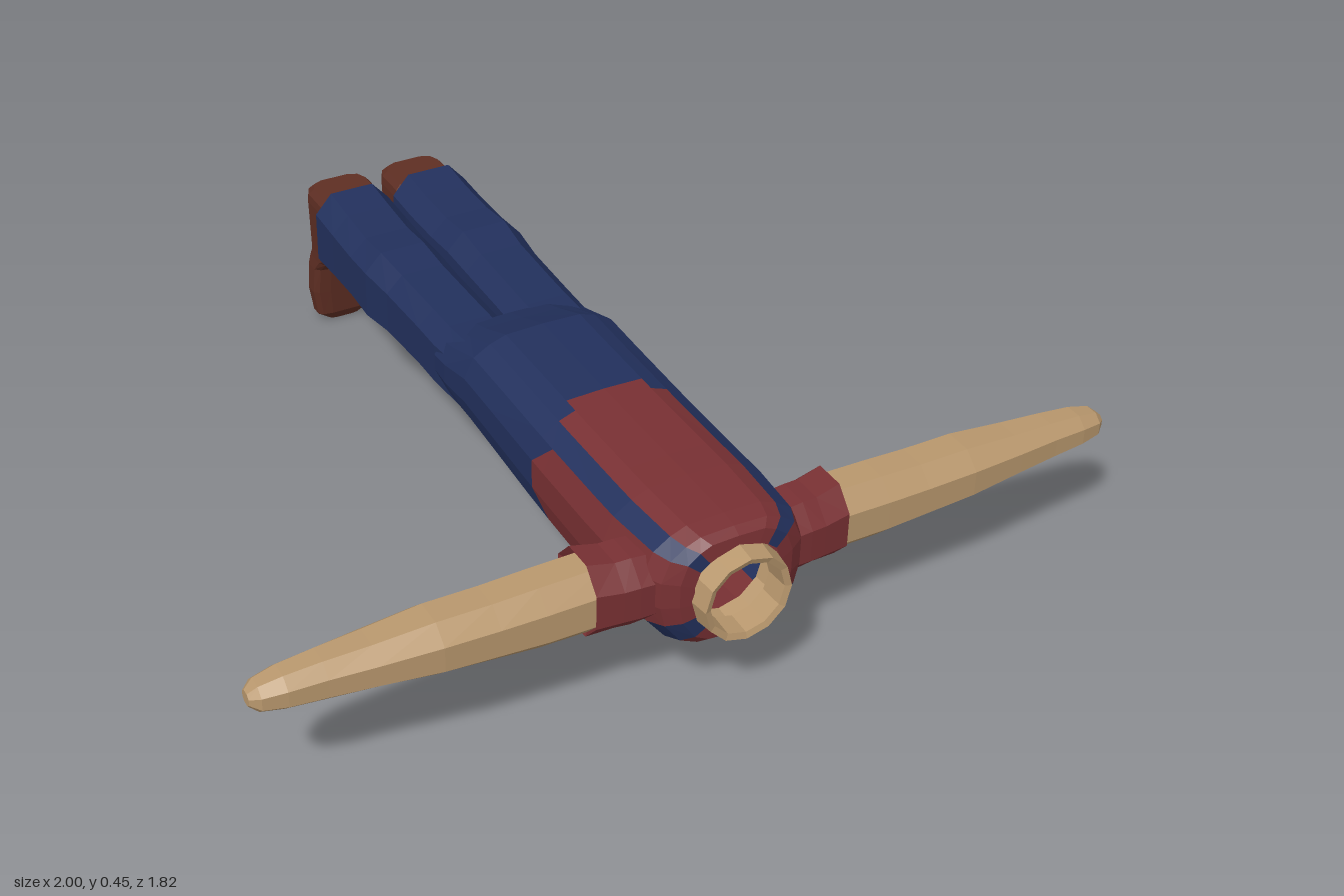
import * as THREE from 'three';

const mat = (name, color) => {
  const m = new THREE.MeshStandardMaterial({ color, flatShading: true, side: THREE.DoubleSide });
  m.name = name;
  return m;
};

// Geometry from plain triangles, each a trio of [x, y, z] points
function fromTriangles(tris) {
  const g = new THREE.BufferGeometry();
  g.setAttribute('position', new THREE.Float32BufferAttribute(tris.flat(2), 3));
  g.computeVertexNormals();
  return g;
}

// Rounded-square ring of n points as [u, v] pairs
function ring(n, hu, hv, power = 0.75) {
  return Array.from({ length: n }, (_, i) => {
    const a = ((i + 0.5) / n) * Math.PI * 2;
    const s = (t) => Math.sign(t) * Math.abs(t) ** power;
    return [hu * s(Math.cos(a)), hv * s(Math.sin(a))];
  });
}

// Skin over a list of rings, with optional end caps
function loft(rings, capStart, capEnd) {
  const tris = [];
  const n = rings[0].length;
  for (let s = 0; s < rings.length - 1; s++) {
    for (let i = 0; i < n; i++) {
      const j = (i + 1) % n;
      const [a, b, c, d] = [rings[s][i], rings[s][j], rings[s + 1][j], rings[s + 1][i]];
      tris.push([a, b, c], [a, c, d]);
    }
  }
  const cap = (r, flip) => {
    for (let i = 1; i < n - 1; i++) tris.push(flip ? [r[0], r[i + 1], r[i]] : [r[0], r[i], r[i + 1]]);
  };
  if (capStart) cap(rings[0], true);
  if (capEnd) cap(rings[rings.length - 1], false);
  return fromTriangles(tris);
}

// Torso split by colour: returns [denim triangles, shirt triangles]
function torsoTriangles() {
  // z, half width, bottom (chest side), top (back side)
  const sections = [
    [0.865, 0.1, 0.205, 0.395], [0.86, 0.13, 0.18, 0.425], [0.84, 0.163, 0.163, 0.437],
    [0.8, 0.182, 0.15, 0.443], [0.66, 0.195, 0.134, 0.445], [0.58, 0.195, 0.13, 0.445],
    [0.4, 0.195, 0.14, 0.446], [0.35, 0.195, 0.145, 0.447], [0.31, 0.195, 0.148, 0.448],
    [0.15, 0.195, 0.167, 0.452], [0.03, 0.196, 0.183, 0.455], [-0.07, 0.197, 0.205, 0.415],
    [-0.13, 0.193, 0.222, 0.395], [-0.135, 0.02, 0.29, 0.31],
  ];
  const half = sections.map(([z, w, b, t]) => {
    const k = (t - b) / 0.31;
    return [
      [0, t, z], [0.47 * w, t - 0.003 * k, z], [0.67 * w, t - 0.018 * k, z], [0.88 * w, t - 0.045 * k, z],
      [w, t - 0.1 * k, z], [w, b + 0.14 * k, z], [0.93 * w, b + 0.085 * k, z],
      [0.7 * w, b + 0.028 * k, z], [0.45 * w, b + 0.006 * k, z], [0, b, z],
    ];
  });
  // Limit of the shirt along z for each panel; straps (2 and 6) stay denim
  const limit = [0.31, 0.36, 9, 0.375, 0.35, 0.375, 9, 0.58, 0.58];
  const denim = [], shirt = [];
  for (let s = 0; s < half.length - 1; s++) {
    for (let i = 0; i < 9; i++) {
      const [a, b, c, d] = [half[s][i], half[s][i + 1], half[s + 1][i + 1], half[s + 1][i]];
      const pair = i === 3 || i === 7 ? [[a, c, b], [a, d, c]] : [[a, d, b], [b, d, c]];
      for (const t of pair) {
        const z = (t[0][2] + t[1][2] + t[2][2]) / 3;
        const target = z > limit[i] ? shirt : denim;
        target.push(t, [t[0], t[2], t[1]].map(([x, y, zz]) => [-x, y, zz]));
      }
    }
  }
  return [denim, shirt];
}

export function createModel() {
  const group = new THREE.Group();
  group.name = 'figure';
  const blue = mat('denim blue', 0x22305c);
  const red = mat('shirt red', 0x783033);
  const tan = mat('skin tan', 0xb8976d);
  const brown = mat('shoe brown', 0x5e2e23);
  const add = (name, geometry, material) => {
    const m = new THREE.Mesh(geometry, material);
    m.name = name;
    group.add(m);
    return m;
  };

  // Overalls and shirt on the torso
  const [denim, shirt] = torsoTriangles();
  add('overallsBody', fromTriangles(denim), blue);
  add('shirtPanels', fromTriangles(shirt), red);

  // Hollow neck
  const neckProfile = [[0.1, 0.8], [0.106, 0.86], [0.1, 0.91], [0.086, 0.905], [0.083, 0.85]];
  const neck = add('neck', new THREE.LatheGeometry(neckProfile.map((p) => new THREE.Vector2(...p)), 12), tan);
  neck.rotation.x = Math.PI / 2;
  neck.position.y = 0.3;

  for (const side of [1, -1]) {
    const name = side > 0 ? 'left' : 'right';

    // Limb section across x: x, centre y, half height, centre z, half depth
    const across = ([x, cy, hy, cz, hz]) =>
      ring(8, hy, hz, 0.9).map(([u, v]) => [side * x, cy + u, cz + v]);

    // Sleeve
    add(name + 'Sleeve', loft([
      [0.14, 0.305, 0.085, 0.75, 0.085], [0.2, 0.305, 0.09, 0.748, 0.085],
      [0.235, 0.305, 0.088, 0.745, 0.085], [0.295, 0.307, 0.096, 0.737, 0.086],
      [0.285, 0.307, 0.08, 0.737, 0.074],
    ].map(across)), red);

    // Arm and closed hand
    add(name + 'Arm', loft([
      [0.25, 0.306, 0.082, 0.742, 0.078], [0.4, 0.305, 0.08, 0.741, 0.078],
      [0.5, 0.307, 0.074, 0.74, 0.077], [0.62, 0.31, 0.069, 0.737, 0.077],
      [0.75, 0.311, 0.056, 0.735, 0.065], [0.85, 0.311, 0.05, 0.734, 0.054],
      [0.93, 0.311, 0.043, 0.734, 0.047], [0.98, 0.31, 0.033, 0.734, 0.036],
      [1, 0.31, 0.016, 0.734, 0.018],
    ].map(across), false, true), tan);

    // Trouser leg: z, inner x, outer x, bottom, top
    add(name + 'TrouserLeg', loft([
      [-0.02, 0.01, 0.186, 0.215, 0.405], [-0.14, 0.002, 0.194, 0.217, 0.4],
      [-0.22, 0.004, 0.195, 0.22, 0.402], [-0.38, 0.006, 0.2, 0.216, 0.407],
      [-0.48, 0.005, 0.21, 0.203, 0.418], [-0.57, 0.004, 0.208, 0.212, 0.41],
      [-0.68, 0.002, 0.206, 0.205, 0.416], [-0.78, 0.002, 0.206, 0.196, 0.427],
    ].map(([z, x0, x1, b, t]) => ring(8, (x1 - x0) / 2, (t - b) / 2, 0.65)
      .map(([u, v]) => [side * ((x0 + x1) / 2 + u), (b + t) / 2 + v, z]))), blue);

    // Shoe from toe to heel: y, half width, instep z, sole z
    add(name + 'Shoe', loft([
      [0.005, 0.04, -0.872, -0.905], [0.03, 0.074, -0.858, -0.914], [0.1, 0.086, -0.851, -0.914],
      [0.17, 0.083, -0.843, -0.914], [0.2, 0.08, -0.81, -0.914], [0.225, 0.079, -0.76, -0.914],
      [0.36, 0.084, -0.75, -0.914], [0.38, 0.082, -0.75, -0.912], [0.394, 0.07, -0.755, -0.9],
    ].map(([y, hw, z0, z1]) => ring(12, hw, (z0 - z1) / 2, 0.5)
      .map(([u, v]) => [side * (0.1 + u), y, (z0 + z1) / 2 + v])), true, true), brown);
  }
  return group;
}
